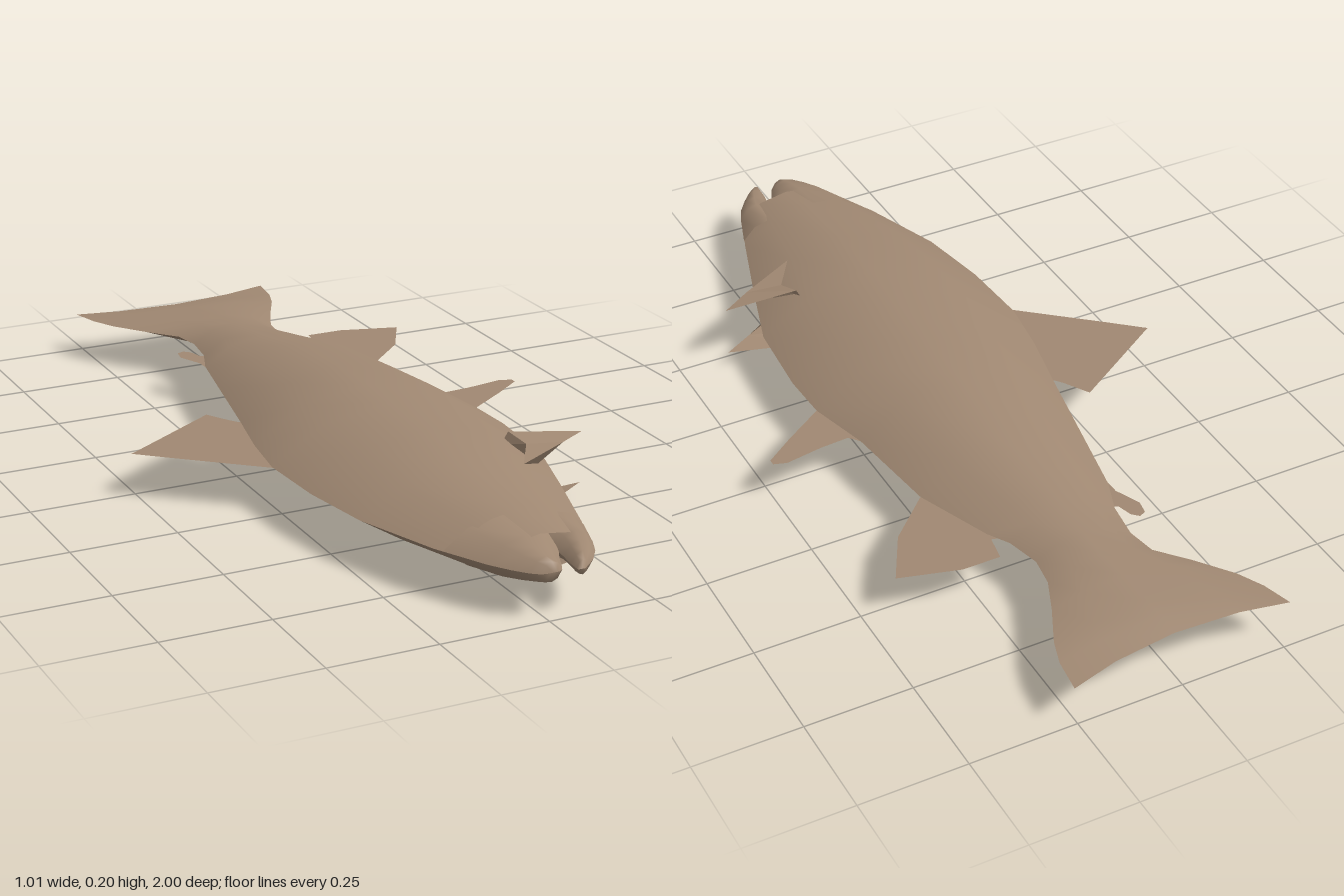
import * as THREE from 'three';
import { mergeVertices } from 'three/addons/utils/BufferGeometryUtils.js';

const skin = new THREE.MeshStandardMaterial({ color: 0xa08872, side: THREE.DoubleSide });
skin.name = 'fish brown';

// cross-section: position across the width, share of the full half height
const SECTION = [[0, 0], [0.21, 0.75], [0.5, 1], [0.785, 0.75], [1, 0]];

// Upper half shell through stations [xLeft, zLeft, xRight, zRight, halfHeight, midShift], nose to tail
function halfShell(stations) {
  const pos = [], index = [], n = SECTION.length;
  stations.forEach(([x0, z0, x1, z1, h, shift = 0], i) => {
    SECTION.forEach(([t, k], j) => {
      pos.push(x0 + (x1 - x0) * t, h * k, z0 + (z1 - z0) * t + shift * 4 * t * (1 - t));
      if (i < stations.length - 1 && j < n - 1) {
        const a = i * n + j, c = a + n;
        index.push(a, a + 1, c, a + 1, c + 1, c);
      }
    });
  });
  let g = new THREE.BufferGeometry();
  g.setAttribute('position', new THREE.Float32BufferAttribute(pos, 3));
  g.setIndex(index);
  g = mergeVertices(g, 1e-5);
  g.computeVertexNormals();
  return g;
}

// The same part on both flanks, mirrored in the middle plane
function addBothSides(parent, name, geometry) {
  for (const side of [1, -1]) {
    const m = new THREE.Mesh(geometry, skin);
    m.name = name + (side > 0 ? 'Upper' : 'Lower');
    m.scale.y = side;
    parent.add(m);
  }
}

// Flat fin in the middle plane from [x, z] points
function addFin(parent, name, points) {
  const shape = new THREE.Shape(points.map(([x, z]) => new THREE.Vector2(x, -z)));
  const m = new THREE.Mesh(new THREE.ShapeGeometry(shape).rotateX(-Math.PI / 2), skin);
  m.name = name;
  parent.add(m);
}

export function createModel() {
  const group = new THREE.Group();
  group.name = 'fish';
  const fish = new THREE.Group();
  fish.name = 'fishOnItsSide';
  fish.position.y = 0.103;
  group.add(fish);

  // body running into the tail fin
  addBothSides(fish, 'body', halfShell([
    [-0.09, 0.9, 0.16, 0.89, 0.044],
    [-0.15, 0.78, 0.20, 0.78, 0.063],
    [-0.22, 0.58, 0.265, 0.58, 0.084],
    [-0.25, 0.40, 0.32, 0.40, 0.102],
    [-0.26, 0.22, 0.335, 0.20, 0.102],
    [-0.24, 0.08, 0.33, 0.08, 0.102],
    [-0.208, -0.07, 0.29, -0.07, 0.102],
    [-0.16, -0.31, 0.26, -0.31, 0.077],
    [-0.13, -0.46, 0.19, -0.49, 0.054],
    [-0.10, -0.54, 0.16, -0.54, 0.048],
    [-0.088, -0.63, 0.14, -0.62, 0.040],
    [-0.10, -0.70, 0.15, -0.69, 0.034],
    [-0.16, -0.77, 0.185, -0.77, 0.027],
    [-0.22, -0.85, 0.23, -0.86, 0.018],
    [-0.25, -0.91, 0.25, -0.92, 0.012, 0.015],
    [-0.27, -0.98, 0.26, -1.0, 0, 0.04],
  ]));

  // two jaws with the mouth slit between them
  addBothSides(fish, 'upperJaw', halfShell([
    [0.0, 0.992, 0.025, 0.992, 0],
    [-0.015, 0.99, 0.035, 0.985, 0.022],
    [-0.035, 0.975, 0.045, 0.965, 0.029],
    [-0.06, 0.945, 0.06, 0.93, 0.036],
    [-0.09, 0.90, 0.085, 0.885, 0.045],
    [-0.14, 0.80, 0.14, 0.80, 0.056],
  ]));
  addBothSides(fish, 'lowerJaw', halfShell([
    [0.064, 1.0, 0.08, 1.0, 0],
    [0.063, 0.995, 0.095, 0.988, 0.017],
    [0.064, 0.97, 0.12, 0.965, 0.024],
    [0.07, 0.93, 0.145, 0.93, 0.029],
    [0.075, 0.89, 0.163, 0.89, 0.034],
    [0.05, 0.80, 0.194, 0.80, 0.042],
  ]));

  // flat fins along the back and belly
  addFin(fish, 'dorsalFin', [[-0.19, -0.06], [-0.21, -0.07], [-0.225, -0.09], [-0.26, -0.15],
    [-0.51, 0.01], [-0.43, 0.08], [-0.26, 0.225], [-0.18, 0.2]]);
  addFin(fish, 'adiposeFin', [[-0.09, -0.53], [-0.11, -0.54], [-0.12, -0.575], [-0.135, -0.59],
    [-0.152, -0.583], [-0.158, -0.55], [-0.132, -0.49], [-0.13, -0.43], [-0.1, -0.43]]);
  addFin(fish, 'analFin', [[0.15, -0.52], [0.19, -0.51], [0.2, -0.57], [0.29, -0.57],
    [0.43, -0.53], [0.365, -0.41], [0.26, -0.31], [0.2, -0.31]]);
  addFin(fish, 'pelvicFin', [[0.27, -0.08], [0.29, -0.07], [0.31, -0.045], [0.38, -0.05],
    [0.47, -0.065], [0.5, -0.055], [0.5, -0.04], [0.43, 0.012], [0.33, 0.08], [0.27, 0.06]]);

  // folded pectoral fin on each flank
  const A = [0.215, 0.08, 0.435], T = [0.388, 0.061, 0.46], C = [0.23, 0.067, 0.49];
  const D = [0.315, 0.063, 0.505], E = [0.17, 0.063, 0.585], F = [0.2, 0.05, 0.43], G = [0.25, 0.025, 0.51];
  const pectoral = new THREE.BufferGeometry();
  pectoral.setAttribute('position', new THREE.Float32BufferAttribute(
    [A, C, D, A, D, T, C, E, D, E, G, D, A, F, C, C, F, G].flat(), 3));
  pectoral.computeVertexNormals();
  addBothSides(fish, 'pectoralFin', pectoral);

  return group;
}
